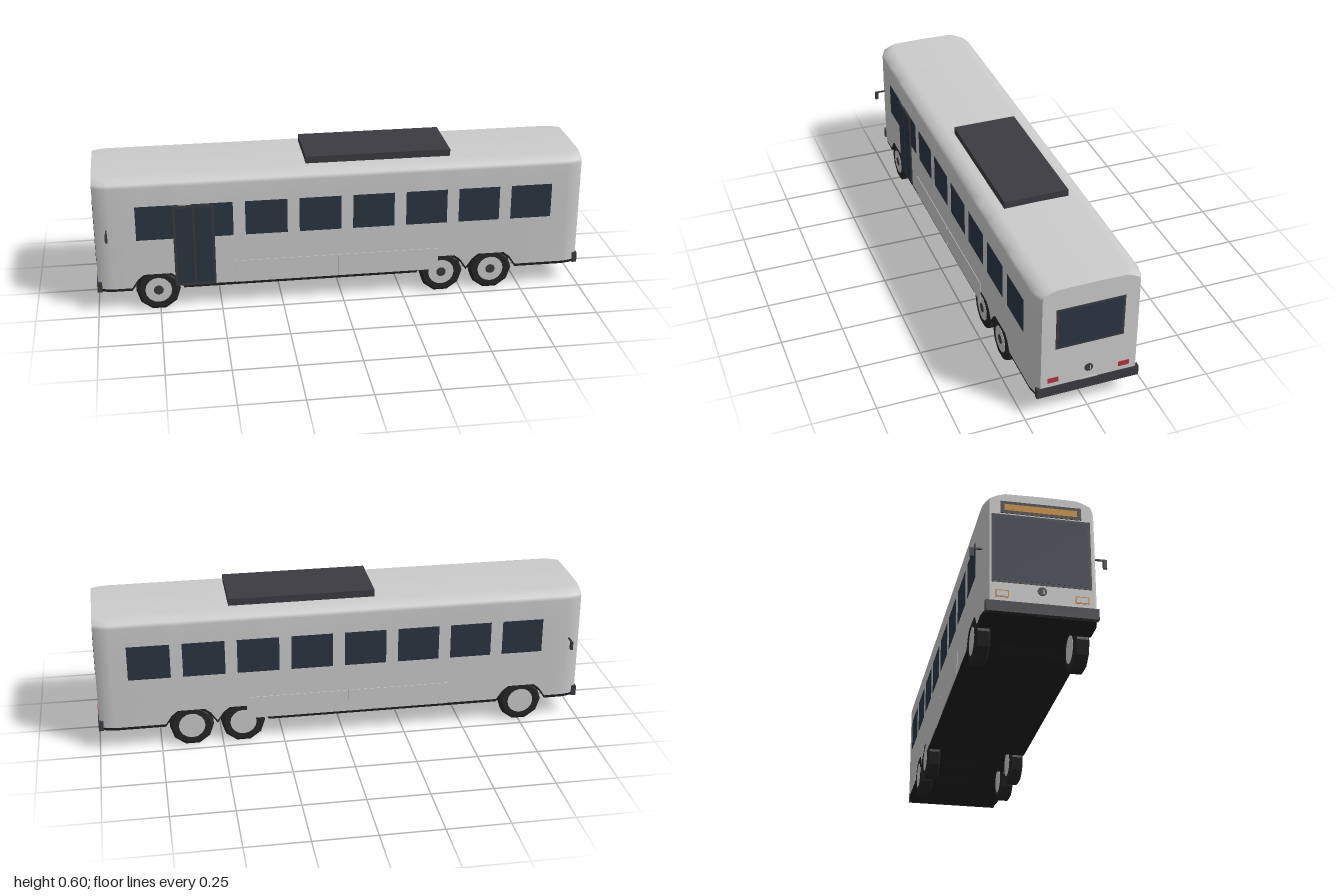
import * as THREE from 'three';

const mat = (color, extra = {}) => new THREE.MeshStandardMaterial({ color, ...extra });
const GREY = mat(0xcccccc, { side: THREE.DoubleSide });
const DARK = mat(0x3c3b40);
const GLASS = mat(0x2b3542);
const RED = mat(0xb4343c);
const ORANGE = mat(0xc98a2b);
const TYRE = mat(0x262626, { flatShading: true });
const FLOOR = mat(0x1e1e20, { flatShading: true });

const AXLES = [-0.755, 0.415, 0.625];
const HALF_WIDTH = 0.211, END = 0.996;
// Half outline of a wheel arch: distance from the axle, height
const ARCH = [[0.105, 0.088], [0.08, 0.125], [0.055, 0.145]];

// Lengthwise stations: x, half width, lower edge height
function stations() {
  const list = [[END, 0.19], [0.985, 0.197], [0.965, 0.205], [0.935, HALF_WIDTH]]
    .flatMap(([x, w]) => [[x, w, 0.088], [-x, w, 0.088]]);
  for (const a of AXLES) {
    for (const [d, y] of ARCH) list.push([a - d, HALF_WIDTH, y], [a + d, HALF_WIDTH, y]);
  }
  return list.sort((p, q) => p[0] - q[0])
    .filter((s, i, all) => i === 0 || s[0] - all[i - 1][0] > 1e-4);
}

// Skin a row of cross-sections, each a list of [z, y]
function loft(section) {
  const rows = stations(), pos = [], index = [];
  const n = section(rows[0][1], rows[0][2]).length;
  rows.forEach(([x, w, low], i) => {
    section(w, low).forEach(([z, y], j) => {
      pos.push(x, y, z);
      if (i < rows.length - 1 && j < n - 1) {
        const a = i * n + j, b = a + n;
        index.push(a, b, b + 1, a, b + 1, a + 1);
      }
    });
  });
  const g = new THREE.BufferGeometry();
  g.setAttribute('position', new THREE.Float32BufferAttribute(pos, 3));
  g.setIndex(index);
  g.computeVertexNormals();
  return g;
}

// Walls and roof from the left skirt over the top to the right skirt
function shellSection(w, low) {
  const half = [[w, low + 0.012], [w, 0.2], [w, 0.4], [w - 0.001, 0.535],
    [w - 0.006, 0.55], [w - 0.03, 0.562], [w - 0.056, 0.571]];
  return [...half, [0, 0.573], ...half.map(([z, y]) => [-z, y]).reverse()];
}

// Floor with a narrow lip, following the wheel arches
function floorSection(w, low) {
  const z = w - 0.002;
  return [[-z, low + 0.014], [-z, low], [z, low], [z, low + 0.014]];
}

export function createModel() {
  const bus = new THREE.Group();
  bus.name = 'bus';

  const add = (name, geometry, material, x = 0, y = 0, z = 0, parent = bus) => {
    const mesh = new THREE.Mesh(geometry, material);
    mesh.name = name;
    mesh.position.set(x, y, z);
    parent.add(mesh);
    return mesh;
  };
  // Box given by its limits on each axis
  const box = (name, material, [x0, x1], [y0, y1], [z0, z1], parent) =>
    add(name, new THREE.BoxGeometry(x1 - x0, y1 - y0, z1 - z0), material,
      (x0 + x1) / 2, (y0 + y1) / 2, (z0 + z1) / 2, parent);
  // Thin plate on a side wall (s = +1 or -1), standing out by t
  const sidePlate = (name, material, s, xs, ys, t) => {
    const z = s * HALF_WIDTH, o = s * (HALF_WIDTH + t);
    return box(name, material, xs, ys, [Math.min(z, o), Math.max(z, o)]);
  };
  // Thin plate on an end wall (s = +1 rear, -1 front)
  const endPlate = (name, material, s, zs, ys, t) => {
    const x = s * (END - 0.002), o = s * (END + t);
    return box(name, material, [Math.min(x, o), Math.max(x, o)], ys, zs);
  };

  // Body
  add('bodyShell', loft(shellSection), GREY);
  add('floor', loft(floorSection), FLOOR);
  const endShape = new THREE.Shape(shellSection(0.19, 0.088).map(([z, y]) => new THREE.Vector2(z, y)));
  for (const s of [1, -1]) {
    add(s > 0 ? 'rearWall' : 'frontWall',
      new THREE.ShapeGeometry(endShape).rotateY(s * Math.PI / 2), GREY, s * END);
    box(s > 0 ? 'rearBumper' : 'frontBumper', DARK,
      s > 0 ? [0.98, 1] : [-1, -0.98], [0.088, 0.13], [-0.205, 0.205]);
  }
  box('roofUnit', DARK, [-0.14, 0.455], [0.565, 0.6], [-0.132, 0.132]);

  // Side windows, luggage panels and mirrors
  for (const s of [1, -1]) {
    for (let i = 0; i < 8; i++) {
      const x = -0.833 + 0.219 * i;
      sidePlate('sideWindow', GLASS, s, [x, x + 0.17], [0.31, 0.455], 0.001);
    }
    for (const [x0, x1] of [[-0.44, -0.0215], [-0.0185, 0.4]]) {
      sidePlate('luggagePanel', GREY, s, [x0, x1], [0.1, 0.195], 0.002);
    }
    const mirror = new THREE.Group();
    mirror.name = s > 0 ? 'leftMirror' : 'rightMirror';
    const zs = (a, b) => (s > 0 ? [a, b] : [-b, -a]);
    box('mirrorArm', DARK, [-0.953, -0.947], [0.356, 0.362], zs(0.2, 0.253), mirror);
    box('mirrorHead', DARK, [-0.955, -0.945], [0.325, 0.36], zs(0.239, 0.253), mirror);
    bus.add(mirror);
  }

  // Two-leaf door on the left side
  sidePlate('doorFrame', DARK, 1, [-0.685, -0.52], [0.1, 0.452], 0.005);
  for (const x of [-0.675, -0.598]) {
    sidePlate('doorGlass', GLASS, 1, [x, x + 0.068], [0.112, 0.442], 0.006);
  }

  // Rear end
  endPlate('rearWindowFrame', DARK, 1, [-0.135, 0.135], [0.303, 0.482], 0.002);
  endPlate('rearWindow', GLASS, 1, [-0.124, 0.124], [0.31, 0.475], 0.003);
  endPlate('rearPlate', GREY, 1, [-0.035, 0.035], [0.125, 0.136], 0.002);
  for (const z of [-0.142, 0.142]) {
    endPlate('tailLight', RED, 1, [z - 0.021, z + 0.021], [0.15, 0.171], 0.003);
  }

  // Front end
  endPlate('windscreenFrame', DARK, -1, [-0.182, 0.182], [0.205, 0.485], 0.001);
  endPlate('windscreen', GLASS, -1, [-0.172, 0.172], [0.215, 0.475], 0.002);
  endPlate('signFrame', DARK, -1, [-0.15, 0.15], [0.49, 0.54], 0.002);
  endPlate('signPanel', ORANGE, -1, [-0.135, 0.135], [0.502, 0.528], 0.003);
  endPlate('frontPlate', GREY, -1, [-0.035, 0.035], [0.125, 0.136], 0.002);
  for (const z of [-0.145, 0.145]) {
    endPlate('headlightFrame', ORANGE, -1, [z - 0.025, z + 0.025], [0.146, 0.174], 0.002);
    endPlate('headlight', GREY, -1, [z - 0.021, z + 0.021], [0.15, 0.17], 0.003);
  }

  // Round cover with a small handle on both ends
  for (const s of [1, -1]) {
    add('roundCover', new THREE.CylinderGeometry(0.017, 0.017, 0.005, 20).rotateZ(Math.PI / 2),
      DARK, s * END, 0.181, 0);
    endPlate('coverHandle', GREY, s, s > 0 ? [-0.008, -0.004] : [0.004, 0.008], [0.172, 0.19], 0.003);
  }

  // Ten-sided wheels
  const tyre = new THREE.LatheGeometry(
    [[0, -0.0275], [0.08, -0.0275], [0.0894, -0.021], [0.0894, 0.021], [0.08, 0.0275], [0, 0.0275]]
      .map(([r, y]) => new THREE.Vector2(r, y)), 10, Math.PI / 10).rotateX(Math.PI / 2);
  const disc = (r, depth) => new THREE.CylinderGeometry(r, r, depth, 16).rotateX(Math.PI / 2);
  const hub = disc(0.054, 0.057), cap = disc(0.02, 0.004);
  for (const x of AXLES) {
    for (const z of [0.1825, -0.1825]) {
      const wheel = new THREE.Group();
      wheel.name = 'wheel';
      wheel.position.set(x, 0.085, z);
      add('tyre', tyre, TYRE, 0, 0, 0, wheel);
      add('hub', hub, GREY, 0, 0, 0, wheel);
      add('hubCap', cap, DARK, 0, 0, 0.0275, wheel);
      bus.add(wheel);
    }
  }
  return bus;
}
